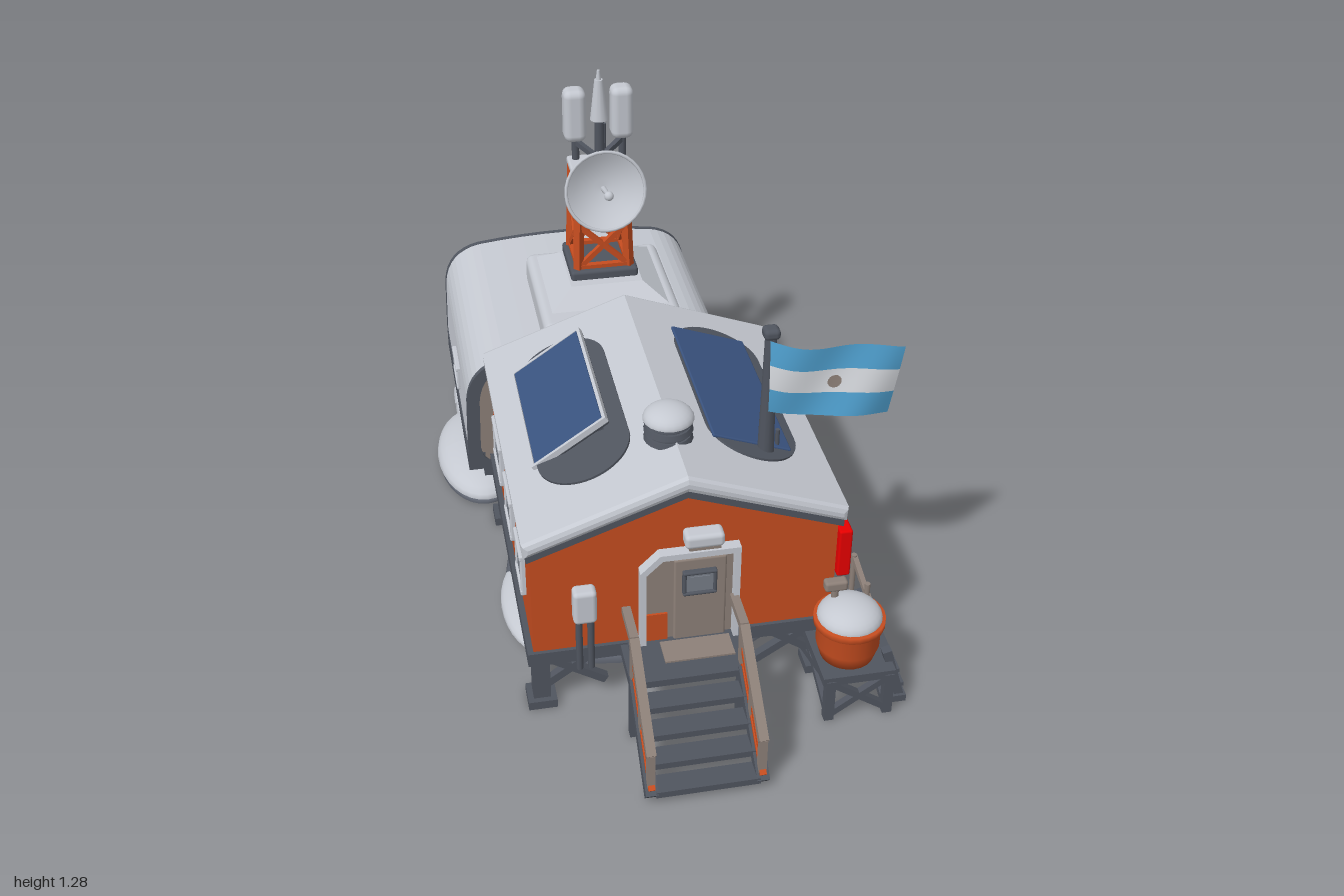
import * as THREE from 'three';
import { RoundedBoxGeometry } from 'three/addons/geometries/RoundedBoxGeometry.js';

const V = (x, y, z) => new THREE.Vector3(x, y, z);
const paint = (name, color) => Object.assign(new THREE.MeshStandardMaterial({ color }), { name });

export function createModel() {
  const M = {
    orange: paint('orange cladding', 0xc64d20), snow: paint('snowy grey', 0xc5c9d1),
    dark: paint('dark steel', 0x50555f), taupe: paint('taupe', 0x8d8078),
    navy: paint('solar blue', 0x3a537f), sky: paint('flag blue', 0x51a3d3),
    white: paint('flag white', 0xdadde2), red: paint('red', 0xff0000),
    glass: paint('window glass', 0x777d88), rock: paint('rock', 0x5d626d),
  };
  M.sky.side = M.white.side = M.snow.side = M.taupe.side = THREE.DoubleSide;
  const root = new THREE.Group();
  const group = (name, parent = root) => { const g = new THREE.Group(); g.name = name; parent.add(g); return g; };
  const add = (p, name, geo, mat, x = 0, y = 0, z = 0) => {
    const m = new THREE.Mesh(geo, mat);
    m.name = name; m.position.set(x, y, z); p.add(m);
    return m;
  };
  const box = (p, name, mat, w, h, d, x, y, z) => add(p, name, new THREE.BoxGeometry(w, h, d), mat, x, y, z);
  const soft = (p, name, mat, w, h, d, x, y, z, r = 0.012) => add(p, name, new RoundedBoxGeometry(w, h, d, 2, r), mat, x, y, z);
  const cyl = (p, name, mat, r1, r2, h, x, y, z, n = 16) => add(p, name, new THREE.CylinderGeometry(r1, r2, h, n), mat, x, y, z);
  const beam = (p, name, mat, a, b, t) => {
    const m = box(p, name, mat, t, t, a.distanceTo(b), 0, 0, 0);
    m.position.copy(a).lerp(b, 0.5); m.lookAt(b);
    return m;
  };
  const poly = pts => new THREE.Shape(pts.map(q => new THREE.Vector2(q[0], q[1])));
  const extrude = (p, name, mat, shape, z0, z1, bevel = 0) => add(p, name, new THREE.ExtrudeGeometry(shape, {
    depth: z1 - z0 - 2 * bevel, bevelEnabled: bevel > 0, bevelSize: bevel, bevelThickness: bevel, bevelSegments: 2, curveSegments: 8,
  }), mat, 0, 0, z0 + bevel);
  // Framed window facing +z before rotation
  const windowAt = (p, w, h, x, y, z, ry, frame = M.snow, rim = M.taupe, t = 0.018) => {
    const g = group('window', p);
    g.position.set(x, y, z); g.rotation.y = ry;
    box(g, 'rim', rim, w, h, 0.008, 0, 0, 0.004);
    box(g, 'pane', M.glass, w * 0.62, h * 0.6, 0.004, 0, 0, 0.008);
    for (const s of [-1, 1]) {
      soft(g, 'frameBar', frame, w + t, t, 0.026, 0, s * h / 2, 0.002, 0.005);
      soft(g, 'framePost', frame, t, h, 0.022, s * w / 2, 0, 0.002, 0.005);
    }
  };

  // Main hut
  const hut = group('mainHut'), cx = -0.01;
  extrude(hut, 'hutWalls', M.orange, poly([[-0.4, 0.2], [0.38, 0.2], [0.38, 0.53], [cx, 0.665], [-0.4, 0.53]]), -0.245, 0.62);
  const chevron = (w, y0, y1, rise) => poly([[cx - w, y0], [cx, y0 + rise], [cx + w, y0], [cx + w, y1], [cx, y1 + rise], [cx - w, y1]]);
  extrude(hut, 'roofDeck', M.dark, chevron(0.4, 0.505, 0.535, 0.145), -0.25, 0.635);
  extrude(hut, 'roofSnow', M.snow, chevron(0.395, 0.54, 0.552, 0.145), -0.252, 0.645, 0.015);
  box(hut, 'floorFrame', M.dark, 0.81, 0.04, 0.88, cx, 0.185, 0.19);
  for (const s of [-1, 1]) {
    const x = cx + s * 0.39, lx = cx + s * 0.37;
    for (const [z, w] of [[0.45, 0.11], [0.217, 0.13], [-0.04, 0.155]]) windowAt(hut, w, 0.11, x, 0.365, z, s * Math.PI / 2);
    // Legs, feet and bracing
    for (const z of [0.58, -0.2]) {
      box(hut, 'leg', M.dark, 0.045, 0.17, 0.045, lx, 0.1, z);
      box(hut, 'foot', M.dark, 0.075, 0.025, 0.075, lx, 0.015, z);
      beam(hut, 'sideBrace', M.dark, V(lx, 0.17, 0.19), V(lx, 0.04, z), 0.024);
      beam(hut, 'kneeBrace', M.dark, V(lx, 0.08, z), V(lx, 0.17, z < 0 ? z + 0.1 : z - 0.1), 0.022);
      beam(hut, 'endBrace', M.dark, V(lx, 0.05, z), V(cx + s * 0.2, 0.17, z), 0.022);
      beam(hut, 'endBrace', M.dark, V(lx, 0.16, z), V(cx + s * 0.2, 0.05, z), 0.022);
    }
  }

  // Door, porch lamp and meter box
  const door = group('entrance');
  const frame = poly([[-0.13, 0.2], [0.125, 0.2], [0.125, 0.49], [-0.08, 0.49], [-0.13, 0.44]]);
  frame.holes.push(poly([[-0.115, 0.2], [-0.115, 0.432], [-0.073, 0.473], [0.11, 0.473], [0.11, 0.2]]));
  extrude(door, 'doorFrame', M.snow, frame, 0.61, 0.65);
  extrude(door, 'doorPanel', M.taupe, poly([[-0.115, 0.2], [0.11, 0.2], [0.11, 0.475], [-0.073, 0.475], [-0.115, 0.433]]), 0.61, 0.628);
  box(door, 'lowerPanel', M.orange, 0.055, 0.09, 0.008, -0.085, 0.245, 0.63);
  soft(door, 'doorLeaf', M.taupe, 0.135, 0.26, 0.015, 0.025, 0.33, 0.63, 0.006);
  windowAt(door, 0.078, 0.065, 0.022, 0.39, 0.637, 0, M.dark, M.glass, 0.01);
  soft(door, 'porchLamp', M.snow, 0.1, 0.04, 0.05, 0.03, 0.53, 0.64);
  box(door, 'lampGlass', M.taupe, 0.08, 0.008, 0.03, 0.03, 0.508, 0.645);
  soft(door, 'meterBox', M.snow, 0.06, 0.1, 0.045, -0.27, 0.36, 0.64);
  for (const x of [-0.285, -0.255]) cyl(door, 'meterPipe', M.dark, 0.009, 0.009, 0.17, x, 0.235, 0.64, 8);
  soft(door, 'redCabinet', M.red, 0.035, 0.145, 0.108, 0.405, 0.4, 0.565, 0.006);

  // Front stairs with handrails
  const stairs = group('stairs');
  box(stairs, 'landing', M.dark, 0.27, 0.02, 0.15, -0.025, 0.195, 0.705);
  box(stairs, 'doorMat', M.taupe, 0.18, 0.006, 0.075, 0.01, 0.207, 0.685);
  for (let i = 0; i < 4; i++) box(stairs, 'tread', M.dark, 0.26, 0.018, 0.058, -0.025, 0.158 - i * 0.041, 0.805 + i * 0.053);
  for (const x of [-0.165, 0.112]) {
    beam(stairs, 'stringer', M.dark, V(x, 0.2, 0.765), V(x, 0.025, 0.985), 0.032);
    beam(stairs, 'stringerTrim', M.orange, V(x, 0.215, 0.77), V(x, 0.045, 0.985), 0.017);
    box(stairs, 'landingBeam', M.dark, 0.026, 0.03, 0.15, x, 0.185, 0.705);
    box(stairs, 'landingLeg', M.dark, 0.025, 0.19, 0.025, x, 0.1, 0.75);
    beam(stairs, 'handrail', M.taupe, V(x, 0.325, 0.75), V(x, 0.15, 0.975), 0.024);
    beam(stairs, 'midRail', M.orange, V(x, 0.26, 0.75), V(x, 0.095, 0.965), 0.014);
    beam(stairs, 'landingRail', M.taupe, V(x, 0.325, 0.755), V(x, 0.325, 0.64), 0.022);
    for (const [y, z] of [[0.2, 0.75], [0.11, 0.865], [0.03, 0.97]]) box(stairs, 'railPost', M.taupe, 0.02, 0.125, 0.02, x, y + 0.062, z);
  }

  // Barrel on its stand, with side steps
  const tank = group('barrelStand');
  const tankProfile = [[0, 0.15], [0.07, 0.15], [0.082, 0.19], [0.083, 0.25], [0.092, 0.254], [0.092, 0.272], [0, 0.272]].map(q => new THREE.Vector2(...q));
  add(tank, 'barrel', new THREE.LatheGeometry(tankProfile, 24), M.orange, 0.4, 0, 0.705);
  const lid = add(tank, 'snowLid', new THREE.SphereGeometry(0.084, 24, 8, 0, Math.PI * 2, 0, Math.PI / 2), M.snow, 0.4, 0.27, 0.705);
  lid.scale.y = 0.55;
  soft(tank, 'valve', M.taupe, 0.06, 0.03, 0.03, 0.37, 0.345, 0.665, 0.008);
  cyl(tank, 'valveStem', M.taupe, 0.01, 0.01, 0.06, 0.37, 0.31, 0.665, 8);
  box(tank, 'deck', M.dark, 0.19, 0.025, 0.31, 0.41, 0.135, 0.64);
  for (const x of [0.335, 0.49]) {
    for (const z of [0.5, 0.785]) box(tank, 'standLeg', M.dark, 0.025, 0.13, 0.025, x, 0.07, z);
    for (const s of [-1, 1]) beam(tank, 'standBrace', M.dark, V(x, 0.02, 0.64 - s * 0.14), V(x, 0.125, 0.64 + s * 0.14), 0.018);
  }
  for (const s of [-1, 1]) beam(tank, 'standBrace', M.dark, V(0.4125 - s * 0.075, 0.02, 0.785), V(0.4125 + s * 0.075, 0.125, 0.785), 0.018);
  for (const z of [0.52, 0.75]) {
    beam(tank, 'stepRail', M.dark, V(0.49, 0.18, z), V(0.535, 0.02, z), 0.024);
    box(tank, 'stepFoot', M.dark, 0.06, 0.02, 0.04, 0.52, 0.02, z);
  }
  for (const [x, y] of [[0.515, 0.1], [0.53, 0.05]]) box(tank, 'step', M.dark, 0.035, 0.012, 0.23, x, y, 0.635);
  for (const z of [0.48, 0.6]) cyl(tank, 'railPost', M.taupe, 0.008, 0.008, 0.13, 0.48, 0.21, z, 8);
  beam(tank, 'rail', M.taupe, V(0.48, 0.27, 0.475), V(0.5, 0.18, 0.6), 0.014);

  // Solar panels on the two roof slopes
  const solar = group('solarPanels');
  const slope = Math.atan2(0.145, 0.4);
  const oval = (r, half) => {
    const s = new THREE.Shape();
    s.absarc(0, half, r, 0, Math.PI).absarc(0, -half, r, Math.PI, Math.PI * 2);
    return new THREE.ExtrudeGeometry(s, { depth: 0.006, bevelEnabled: false }).rotateX(-Math.PI / 2);
  };
  for (const s of [-1, 1]) {
    const seat = group('roofRecess', solar);
    seat.position.set(cx + s * 0.215, 0.64, 0.19); seat.rotation.z = -s * slope;
    add(seat, 'recessPlate', oval(0.125, 0.19), M.dark);
    if (s > 0) soft(seat, 'flushPanel', M.navy, 0.218, 0.009, 0.53, -0.012, 0.007, -0.01, 0.004);
  }
  const tilt = group('tiltedPanel', solar);
  tilt.position.set(-0.255, 0.65, 0.15); tilt.rotation.z = 0.6;
  soft(tilt, 'panelFrame', M.dark, 0.23, 0.02, 0.44, 0, 0, 0, 0.006);
  box(tilt, 'panelCells', M.navy, 0.21, 0.008, 0.42, 0, 0.009, 0);
  for (const s of [-1, 1]) {
    box(tilt, 'panelEdge', M.snow, 0.23, 0.016, 0.009, 0, 0.006, s * 0.216);
    box(tilt, 'panelEdge', M.snow, 0.009, 0.016, 0.44, s * 0.111, 0.006, 0);
    beam(solar, 'panelStrut', M.dark, V(-0.18, 0.62, 0.15 + s * 0.18), V(-0.17, 0.7, 0.15 + s * 0.18), 0.014);
  }

  // Roof vent
  const vent = group('roofVent');
  cyl(vent, 'ventBody', M.dark, 0.05, 0.055, 0.1, -0.02, 0.71, 0.44, 20);
  for (let i = 0; i < 3; i++) cyl(vent, 'ventRing', M.dark, 0.058, 0.063, 0.014, -0.02, 0.705 + i * 0.025, 0.44, 20);
  add(vent, 'ventCap', new THREE.SphereGeometry(0.065, 20, 8, 0, Math.PI * 2, 0, Math.PI / 2), M.snow, -0.02, 0.755, 0.44).scale.y = 0.55;

  // Flag and pole; u runs along the flag, v down it
  const flag = group('flag');
  cyl(flag, 'pole', M.dark, 0.015, 0.024, 0.45, 0.23, 0.755, 0.45, 12);
  soft(flag, 'poleTop', M.dark, 0.042, 0.03, 0.042, 0.23, 0.98, 0.45);
  cyl(flag, 'poleStay', M.dark, 0.006, 0.006, 0.09, 0.265, 0.63, 0.43, 8);
  const cloth = (name, geo, mat, toUV, lift) => {
    const p = geo.attributes.position;
    for (let k = 0; k < p.count; k++) {
      const [u, v] = toUV(p.getX(k), p.getY(k));
      p.setXYZ(k, 0.225 + 0.335 * u - 0.025 * u * v, 0.965 - 0.2 * v - 0.04 * u - 0.008 * Math.sin(u * 6),
        0.465 + 0.03 * Math.sin(u * 2.5) + 0.01 * Math.sin(u * 8 + v * 2) + lift);
    }
    geo.computeVertexNormals();
    add(flag, name, geo, mat);
  };
  [M.sky, M.white, M.sky].forEach((mat, i) =>
    cloth('flagStripe', new THREE.PlaneGeometry(1, 1, 18, 4), mat, (x, y) => [x + 0.5, (i + 0.5 - y) / 3], 0));
  for (const s of [-1, 1])
    cloth('flagDisc', new THREE.CircleGeometry(0.018, 16), M.taupe, (x, y) => [0.5 + x / 0.335, 0.5 - y / 0.2], s * 0.004);

  // Rear module with rounded shoulders
  const rear = group('rearModule'), rx = -0.075;
  const section = (k, Kind = THREE.Shape) => {
    const s = new Kind(), X = x => rx + x * k, Y = y => 0.33 + (y - 0.33) * k;
    s.moveTo(X(-0.34), Y(0.135)); s.lineTo(X(0.34), Y(0.135));
    s.quadraticCurveTo(X(0.4), Y(0.14), X(0.4), Y(0.21)); s.lineTo(X(0.395), Y(0.38));
    s.quadraticCurveTo(X(0.385), Y(0.49), X(0.28), Y(0.51)); s.quadraticCurveTo(X(0), Y(0.545), X(-0.28), Y(0.51));
    s.quadraticCurveTo(X(-0.385), Y(0.49), X(-0.395), Y(0.38)); s.lineTo(X(-0.4), Y(0.21));
    s.quadraticCurveTo(X(-0.4), Y(0.14), X(-0.34), Y(0.135));
    return s;
  };
  extrude(rear, 'moduleShell', M.snow, section(1), -0.985, -0.29);
  for (const z of [-1, -0.292]) {
    const ring = section(1.005);
    ring.holes.push(section(0.91, THREE.Path));
    extrude(rear, 'endFrame', M.dark, ring, z, z + 0.016);
  }
  extrude(rear, 'backWall', M.orange, section(0.92), -0.993, -0.98);
  extrude(rear, 'frontWall', M.taupe, section(0.92), -0.295, -0.283);
  box(rear, 'floorPan', M.dark, 0.7, 0.03, 0.71, rx, 0.13, -0.64);
  for (const s of [-1, 1]) {
    windowAt(rear, 0.12, 0.065, rx + s * 0.394, 0.3, -0.59, s * Math.PI / 2, s > 0 ? M.dark : M.snow, M.snow, 0.014);
    windowAt(rear, 0.065, 0.1, rx + s * 0.29, 0.33, -0.99, Math.PI, M.snow, M.taupe, 0.011);
    box(rear, 'sideSkirt', M.dark, 0.05, 0.06, 0.718, rx + s * 0.377, 0.16, -0.64);
    for (const z of [-0.95, -0.34]) {
      box(rear, 'leg', M.dark, 0.05, 0.15, 0.05, rx + s * 0.33, 0.08, z);
      box(rear, 'foot', M.dark, 0.08, 0.025, 0.08, rx + s * 0.33, 0.015, z);
    }
  }

  // Radio tower on a snowy plinth
  const tower = group('tower'), tx = -0.03, tz = -0.55;
  soft(tower, 'plinth', M.snow, 0.41, 0.1, 0.45, tx, 0.555, -0.505, 0.025);
  const cap = cyl(tower, 'plinthSlope', M.snow, 0.15, 0.275, 0.06, tx, 0.62, -0.525, 4);
  cap.geometry = cap.geometry.rotateY(Math.PI / 4).toNonIndexed();
  cap.geometry.computeVertexNormals();
  soft(tower, 'towerBase', M.dark, 0.2, 0.035, 0.2, tx, 0.66, tz, 0.01);
  const corner = (i, y) => {
    const a = Math.PI / 4 + i * Math.PI / 2, r = THREE.MathUtils.mapLinear(y, 0.68, 0.95, 0.106, 0.093);
    return V(tx + r * Math.cos(a), y, tz + r * Math.sin(a));
  };
  const levels = [0.68, 0.815, 0.95];
  for (let i = 0; i < 4; i++) {
    beam(tower, 'towerLeg', M.orange, corner(i, 0.67), corner(i, 0.955), 0.022);
    levels.forEach((y, k) => {
      beam(tower, 'crossBar', M.orange, corner(i, y), corner(i + 1, y), 0.018);
      if (k < 2) for (const s of [0, 1]) beam(tower, 'lattice', M.orange, corner(i + s, y), corner(i + 1 - s, levels[k + 1]), 0.015);
    });
  }
  soft(tower, 'topDeck', M.snow, 0.165, 0.022, 0.155, tx, 0.963, tz, 0.008);
  cyl(tower, 'mastPole', M.dark, 0.013, 0.015, 0.18, tx, 1.06, -0.52, 12);
  cyl(tower, 'mastSpike', M.snow, 0.012, 0.026, 0.12, tx, 1.19, -0.52, 12);
  cyl(tower, 'mastTip', M.snow, 0.004, 0.008, 0.03, tx, 1.263, -0.52, 8);
  cyl(tower, 'whip', M.dark, 0.007, 0.007, 0.13, tx + 0.02, 1.03, -0.565, 8);
  for (const s of [-1, 1]) {
    const x = -0.019 + s * 0.069;
    soft(tower, 'antenna', M.snow, 0.066, 0.16, 0.066, x, 1.11, -0.61, 0.022);
    cyl(tower, 'antennaPole', M.dark, 0.011, 0.011, 0.1, x, 1.0, -0.6, 8);
    beam(tower, 'antennaArm', M.dark, V(tx, 1.0, -0.53), V(x, 1.03, -0.6), 0.015);
  }
  // Dish opens toward the front and slightly up
  const dish = group('dish', tower);
  dish.position.set(tx, 0.95, -0.422); dish.rotation.x = Math.PI / 2 - 0.24;
  const bowl = [0, 0.03, 0.06, 0.09, 0.115].map(r => new THREE.Vector2(r, 3 * r * r - 0.035));
  add(dish, 'bowl', new THREE.LatheGeometry(bowl, 32), M.snow);
  add(dish, 'rim', new THREE.TorusGeometry(0.114, 0.005, 6, 32), M.snow, 0, 0.004, 0).rotation.x = Math.PI / 2;
  cyl(dish, 'feedArm', M.snow, 0.006, 0.009, 0.1, 0, 0.01, 0, 8);
  add(dish, 'feedHorn', new THREE.SphereGeometry(0.014, 12, 8), M.snow, 0, 0.06, 0);
  cyl(dish, 'mount', M.dark, 0.025, 0.025, 0.03, 0, -0.052, 0, 12);

  // Rocky ground with snow drifts: x, z, half width, half depth, height
  const ground = group('ground');
  // Flat-bottomed dome; a higher power squares its outline
  const dome = power => {
    const g = new THREE.SphereGeometry(1, 32, 14), p = g.attributes.position;
    for (let k = 0; k < p.count; k++) {
      const [x, y, z] = [p.getX(k), p.getY(k), p.getZ(k)], r = Math.hypot(x, z);
      const f = r > 1e-6 ? r / (Math.abs(x) ** power + Math.abs(z) ** power) ** (1 / power) : 1;
      p.setXYZ(k, x * f, y < 0 ? y * 0.25 : y, z * f);
    }
    g.computeVertexNormals();
    return g;
  };
  const round = dome(2), squared = dome(4);
  const mound = (name, geo, mat, [x, z, a, b, h], y) =>
    add(ground, name, geo, mat, x, y + h * 0.2, z).scale.set(a, h * 0.8, b);
  for (const m of [[-0.02, 0.13, 0.36, 0.38, 0.09], [-0.08, -0.63, 0.38, 0.36, 0.07]]) mound('rockShelf', squared, M.rock, m, 0.005);
  for (const m of [[-0.2, 0.15, 0.22, 0.32, 0.1], [0.17, 0.1, 0.2, 0.34, 0.1], [-0.02, -0.2, 0.38, 0.22, 0.1],
    [0.12, -0.72, 0.23, 0.26, 0.08], [-0.43, -0.49, 0.125, 0.23, 0.04], [0.31, -0.79, 0.12, 0.135, 0.04],
    [0.36, 0.42, 0.05, 0.1, 0.05]]) mound('rock', round, M.rock, m, 0.005);
  for (const m of [[-0.43, -0.49, 0.13, 0.24, 0.08], [0.31, -0.79, 0.13, 0.14, 0.08], [-0.35, 0.24, 0.095, 0.2, 0.05]])
    mound('snowDrift', round, M.snow, m, 0.02);
  mound('rearDrift', squared, M.snow, [-0.14, -0.78, 0.34, 0.21, 0.07], 0.022);
  return root;
}
